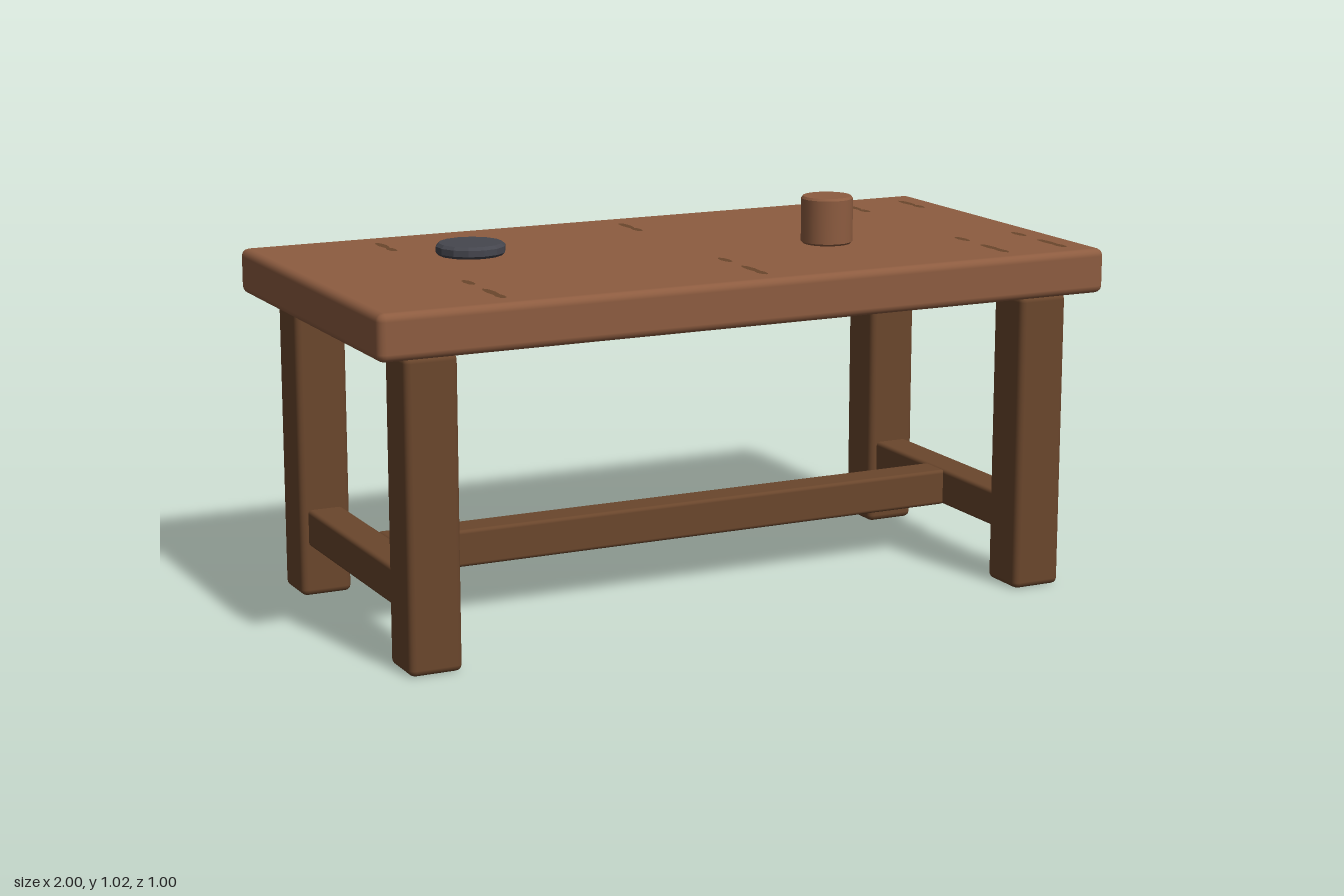
import * as THREE from 'three';
import { RoundedBoxGeometry } from 'three/addons/geometries/RoundedBoxGeometry.js';

function material(name, color, options = {}) {
  const m = new THREE.MeshStandardMaterial({ color, ...options });
  m.name = name;
  return m;
}

export function createModel() {
  const model = new THREE.Group();
  model.name = 'table';
  const lightWood = material('light wood', 0x8d5c40);
  const darkWood = material('dark wood', 0x6a462c);
  const slate = material('slate grey', 0x45464e, { flatShading: true });

  function add(name, geometry, mat, x, y, z) {
    const mesh = new THREE.Mesh(geometry, mat);
    mesh.name = name;
    mesh.position.set(x, y, z);
    model.add(mesh);
    return mesh;
  }
  const beam = (w, h, d, r) => new RoundedBoxGeometry(w, h, d, 2, r);

  // Thick top with softened edges
  add('tableTop', beam(2, 0.117, 1, 0.02), lightWood, 0, 0.8425, 0);

  // Four square legs, and a rail joining each end pair
  for (const side of [-1, 1]) {
    for (const end of [-1, 1]) {
      add('leg', beam(0.136, 0.782, 0.136, 0.016), darkWood, side * 0.85, 0.391, end * 0.382);
    }
    add('endRail', beam(0.095, 0.097, 0.68, 0.01), darkWood, side * 0.85, 0.183, 0);
  }

  // Long rail between the end rails
  add('longRail', beam(1.62, 0.097, 0.095, 0.01), darkWood, 0, 0.183, 0);

  // Cup: a solid round body with a tiny bevel
  const cup = [[0, 0], [0.062, 0], [0.062, 0], [0.0675, 0.006], [0.0675, 0.006],
    [0.0675, 0.119], [0.0675, 0.119], [0.063, 0.125], [0.063, 0.125], [0, 0.125]];
  add('cup', new THREE.LatheGeometry(cup.map(([x, y]) => new THREE.Vector2(x, y)), 24),
    lightWood, 0.4, 0.9, 0.1);

  // Plate: a shallow bevelled disc
  const plate = [[0, 0], [0.082, 0], [0.09, 0.008], [0.09, 0.024], [0.082, 0.032], [0, 0.032]];
  add('plate', new THREE.LatheGeometry(plate.map(([x, y]) => new THREE.Vector2(x, y)), 14),
    slate, -0.5, 0.9, -0.15);

  // Dark grain flecks on the top: two runs per column
  const fleck = new THREE.CircleGeometry(1, 8).rotateX(-Math.PI / 2);
  for (const x of [-0.66, 0.04, 0.74, 0.915]) {
    for (const [z, length] of [[-0.36, 0.045], [-0.295, 0.03], [0.22, 0.035], [0.36, 0.05], [0.415, 0.03]]) {
      add('grainFleck', fleck, darkWood, x, 0.9025, z).scale.set(0.012, 1, length);
    }
  }
  return model;
}
